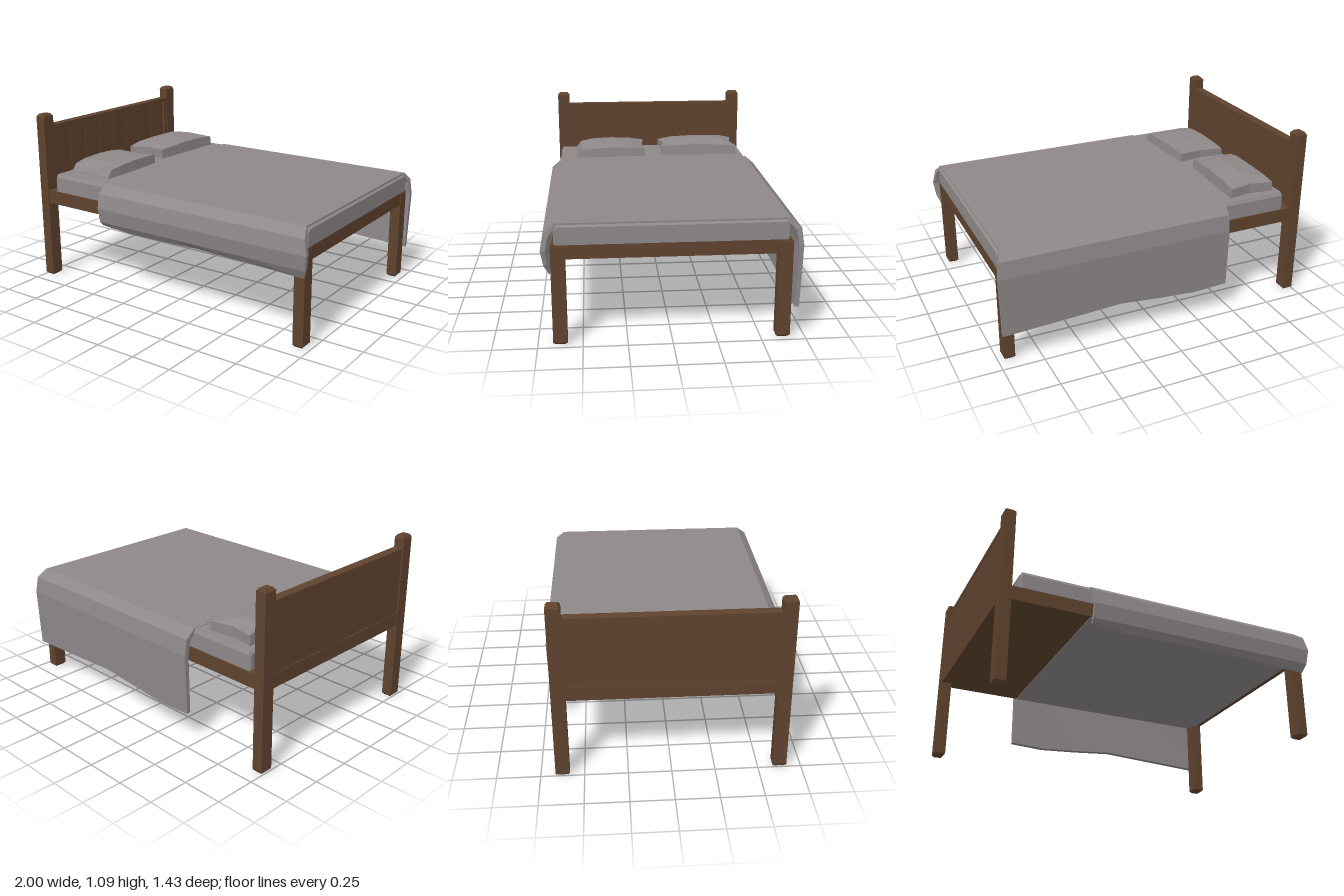
import * as THREE from 'three';

const wood = new THREE.MeshStandardMaterial({ color: 0x5f432e });
wood.name = 'brown wood';
const cloth = new THREE.MeshStandardMaterial({ color: 0x8e8889 });
cloth.name = 'grey cloth';

// Flat-faced solid through closed loops; each end is closed by a strip across its loop
function loft(sections) {
  const pos = [];
  const quad = (a, b, c, d) => pos.push(...a, ...b, ...c, ...a, ...c, ...d);
  const n = sections[0].length;
  for (let s = 0; s < sections.length - 1; s++) {
    const p = sections[s], q = sections[s + 1];
    for (let i = 0; i < n; i++) {
      const j = (i + 1) % n;
      quad(p[i], p[j], q[j], q[i]);
    }
  }
  const first = sections[0], last = sections[sections.length - 1];
  for (let i = 0; i < n / 2 - 1; i++) {
    quad(last[i], last[i + 1], last[n - 2 - i], last[n - 1 - i]);
    quad(first[n - 1 - i], first[n - 2 - i], first[i + 1], first[i]);
  }
  const g = new THREE.BufferGeometry();
  g.setAttribute('position', new THREE.Float32BufferAttribute(pos, 3));
  g.computeVertexNormals();
  return g;
}

export function createModel() {
  const model = new THREE.Group();
  model.name = 'bed';

  const add = (name, geometry, material) => {
    const mesh = new THREE.Mesh(geometry, material);
    mesh.name = name;
    model.add(mesh);
    return mesh;
  };
  const box = (name, material, x0, x1, y0, y1, z0, z1) => {
    const mesh = add(name, new THREE.BoxGeometry(x1 - x0, y1 - y0, z1 - z0), material);
    mesh.position.set((x0 + x1) / 2, (y0 + y1) / 2, (z0 + z1) / 2);
  };

  // Posts with chamfered ends
  const post = (name, x, z, hx, hz, top) => {
    const ring = (y, inset) => {
      const a = hx - inset, b = hz - inset;
      return [[x - a, y, z + b], [x + a, y, z + b], [x + a, y, z - b], [x - a, y, z - b]];
    };
    add(name, loft([ring(0.005, 0.012), ring(0.018, 0), ring(top - 0.016, 0), ring(top, 0.012)]), wood);
  };
  for (const side of [-1, 1]) {
    const label = side > 0 ? 'Left' : 'Right';
    post('headPost' + label, -0.967, side * 0.625, 0.033, 0.04, 1.09);
    post('footPost' + label, 0.932, side * 0.625, 0.033, 0.04, 0.594);
  }

  // Bed base, with the cloth covering its underside
  box('bedBase', wood, -0.995, 0.962, 0.508, 0.593, -0.656, 0.656);
  box('undersideCloth', cloth, -0.46, 0.93, 0.504, 0.51, -0.65, 0.65);

  // Headboard: backing, border and vertical planks
  box('headboardBack', wood, -0.99, -0.965, 0.55, 1.0, -0.6, 0.6);
  box('headboardTopRail', wood, -0.993, -0.937, 0.988, 1.012, -0.59, 0.59);
  for (const side of [-1, 1]) {
    box('headboardStile', wood, -0.985, -0.94, 0.55, 0.99, side * 0.575 - 0.018, side * 0.575 + 0.018);
  }
  const plankWidth = 1.114 / 8;
  for (let i = 0; i < 8; i++) {
    const z = -0.557 + i * plankWidth;
    box('headboardPlank', wood, -0.97, -0.955, 0.55, 0.99, z + 0.002, z + plankWidth - 0.002);
  }

  // Mattress with softened upper edges
  const mattressRing = (x, top, half) => [
    [x, 0.59, -half], [x, top - 0.02, -half], [x, top, -half + 0.012],
    [x, top, half - 0.012], [x, top - 0.02, half], [x, 0.59, half],
  ];
  add('mattress', loft([
    mattressRing(-0.882, 0.69, 0.636),
    mattressRing(-0.87, 0.706, 0.646),
    mattressRing(0.945, 0.706, 0.646),
    mattressRing(0.966, 0.69, 0.638),
  ]), cloth);

  // Blanket: short drop on the left, long drop on the right, flared at the foot
  const footX = [0.975, 0.985, 0.975, 0.953, 0.953, 0.978, 0.997, 0.985, 0.965];
  const blanketRing = (t, rightHem, leftHem) => {
    const outer = [
      [rightHem, -0.707], [0.56, -0.717], [0.66, -0.702], [0.71, -0.645],
      [0.71, 0.64], [0.66, 0.70], [0.57, 0.716], [0.48, 0.70], [leftHem, 0.672],
    ];
    const inner = [
      [rightHem + 0.003, -0.682], [0.56, -0.69], [0.645, -0.675], [0.69, -0.635],
      [0.69, 0.63], [0.645, 0.672], [0.57, 0.69], [0.49, 0.678], [leftHem + 0.015, 0.66],
    ];
    const at = ([y, z], i) => [THREE.MathUtils.lerp(-0.46, footX[i], t), y, z];
    return [...outer.map(at), ...inner.map(at).reverse()];
  };
  add('blanket', loft([
    blanketRing(0, 0.192, 0.45),
    blanketRing(0.15, 0.182, 0.437),
    blanketRing(0.32, 0.2, 0.438),
    blanketRing(0.5, 0.225, 0.446),
    blanketRing(0.75, 0.208, 0.437),
    blanketRing(1, 0.192, 0.425),
  ]), cloth);

  // Pillows: each row is z, head x, foot x, base height, then head, middle and foot top heights;
  // pinch bends the ends inwards
  const pillow = (name, rows) => add(name, loft(rows.map(([z, xh, xf, y, th, tm, tf, pinch]) => {
    const xm = (xh + xf) / 2;
    return [
      [xh, y, z], [xm, y, z + pinch], [xf, y, z],
      [xf - 0.006, tf, z], [xm, tm, z + pinch], [xh + 0.006, th, z],
    ];
  })), cloth);
  pillow('pillowRight', [
    [-0.59, -0.835, -0.535, 0.7, 0.765, 0.768, 0.765, 0.022],
    [-0.5, -0.825, -0.54, 0.7, 0.785, 0.797, 0.775, 0],
    [-0.3, -0.835, -0.55, 0.7, 0.785, 0.8, 0.78, 0],
    [-0.15, -0.85, -0.56, 0.7, 0.775, 0.785, 0.77, 0],
    [-0.06, -0.858, -0.566, 0.7, 0.755, 0.765, 0.765, -0.025],
  ]);
  pillow('pillowLeft', [
    [0.053, -0.858, -0.538, 0.7, 0.755, 0.757, 0.762, 0.018],
    [0.15, -0.848, -0.53, 0.7, 0.77, 0.775, 0.768, 0],
    [0.28, -0.842, -0.523, 0.7, 0.778, 0.784, 0.772, 0],
    [0.42, -0.842, -0.52, 0.7, 0.772, 0.78, 0.765, 0],
    [0.505, -0.84, -0.522, 0.7, 0.755, 0.757, 0.755, -0.008],
    [0.538, -0.838, -0.52, 0.7, 0.71, 0.712, 0.71, -0.018],
  ]);

  return model;
}
